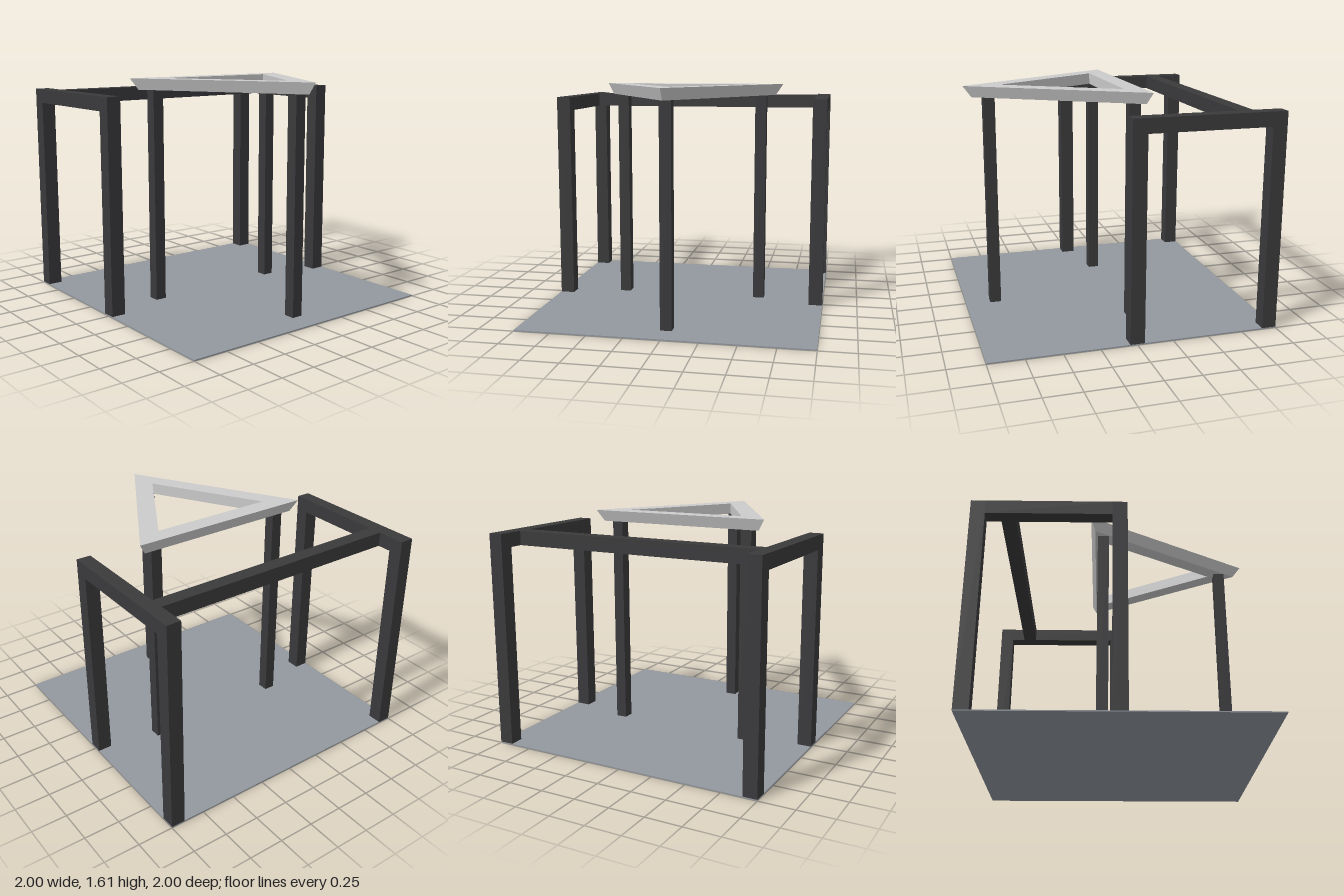
import * as THREE from 'three';

const dark = new THREE.MeshStandardMaterial({ color: 0x3a3a3c });
const floorGrey = new THREE.MeshStandardMaterial({ color: 0x92989f });
const light = new THREE.MeshStandardMaterial({ color: 0xcccccc });

const FLOOR = 0.008; // floor thickness
const TOP = 1.51; // top of the frame
const BAR = 0.1; // frame bar thickness
const RING_BOTTOM = 1.53, RING_HEIGHT = 0.08, RING_Z = 0.187;

// Box given by its minimum and maximum corners
function box(name, min, max, material) {
  const size = max.map((v, i) => v - min[i]);
  const mesh = new THREE.Mesh(new THREE.BoxGeometry(...size), material);
  mesh.position.set(...max.map((v, i) => (v + min[i]) / 2));
  mesh.name = name;
  return mesh;
}

// Corners of an equilateral triangle pointing to the front
function triangle(radius) {
  return [90, 210, 330].map((deg) => {
    const a = THREE.MathUtils.degToRad(deg);
    return new THREE.Vector2(Math.cos(a) * radius, Math.sin(a) * radius);
  });
}

// Triangular ring: upright inner walls, outer walls leaning in towards the bottom
function triangleRing() {
  const shape = new THREE.Shape(triangle(0.773));
  shape.holes.push(new THREE.Path(triangle(0.514)));
  const geometry = new THREE.ExtrudeGeometry(shape, { depth: RING_HEIGHT, bevelEnabled: false });
  const p = geometry.attributes.position;
  for (let i = 0; i < p.count; i++) {
    const outer = Math.hypot(p.getX(i), p.getY(i)) > 0.6;
    if (outer && p.getZ(i) > RING_HEIGHT / 2) {
      p.setXY(i, p.getX(i) * 0.924, p.getY(i) * 0.924);
    }
  }
  geometry.rotateX(Math.PI / 2);
  geometry.computeVertexNormals();
  const mesh = new THREE.Mesh(geometry, light);
  mesh.position.set(0, RING_BOTTOM + RING_HEIGHT, RING_Z);
  mesh.name = 'triangleRing';
  return mesh;
}

export function createModel() {
  const model = new THREE.Group();
  model.name = 'triangleCanopy';
  model.add(box('floor', [-1, 0, -1], [1, FLOOR, 1], floorGrey));

  // Two side portals joined by a cross beam
  const frame = new THREE.Group();
  frame.name = 'frame';
  for (const [side, x] of [['left', 1 - BAR], ['right', -1]]) {
    frame.add(
      box(`${side}FrontPost`, [x, FLOOR, -0.05], [x + BAR, TOP, 0.05], dark),
      box(`${side}BackPost`, [x, FLOOR, -1], [x + BAR, TOP, -0.9], dark),
      box(`${side}Beam`, [x, TOP - BAR, -0.9], [x + BAR, TOP, -0.05], dark),
    );
  }
  frame.add(box('crossBeam', [-0.9, TOP - BAR, -0.8], [0.9, TOP, -0.7], dark));
  model.add(frame);

  // Ring on three slim square posts
  const canopy = new THREE.Group();
  canopy.name = 'canopy';
  canopy.add(triangleRing());
  const names = ['frontRingPost', 'rightRingPost', 'leftRingPost'];
  triangle(0.598).forEach((c, i) => {
    const z = c.y + RING_Z;
    canopy.add(box(names[i], [c.x - 0.04, FLOOR, z - 0.04], [c.x + 0.04, RING_BOTTOM, z + 0.04], dark));
  });
  model.add(canopy);
  return model;
}
